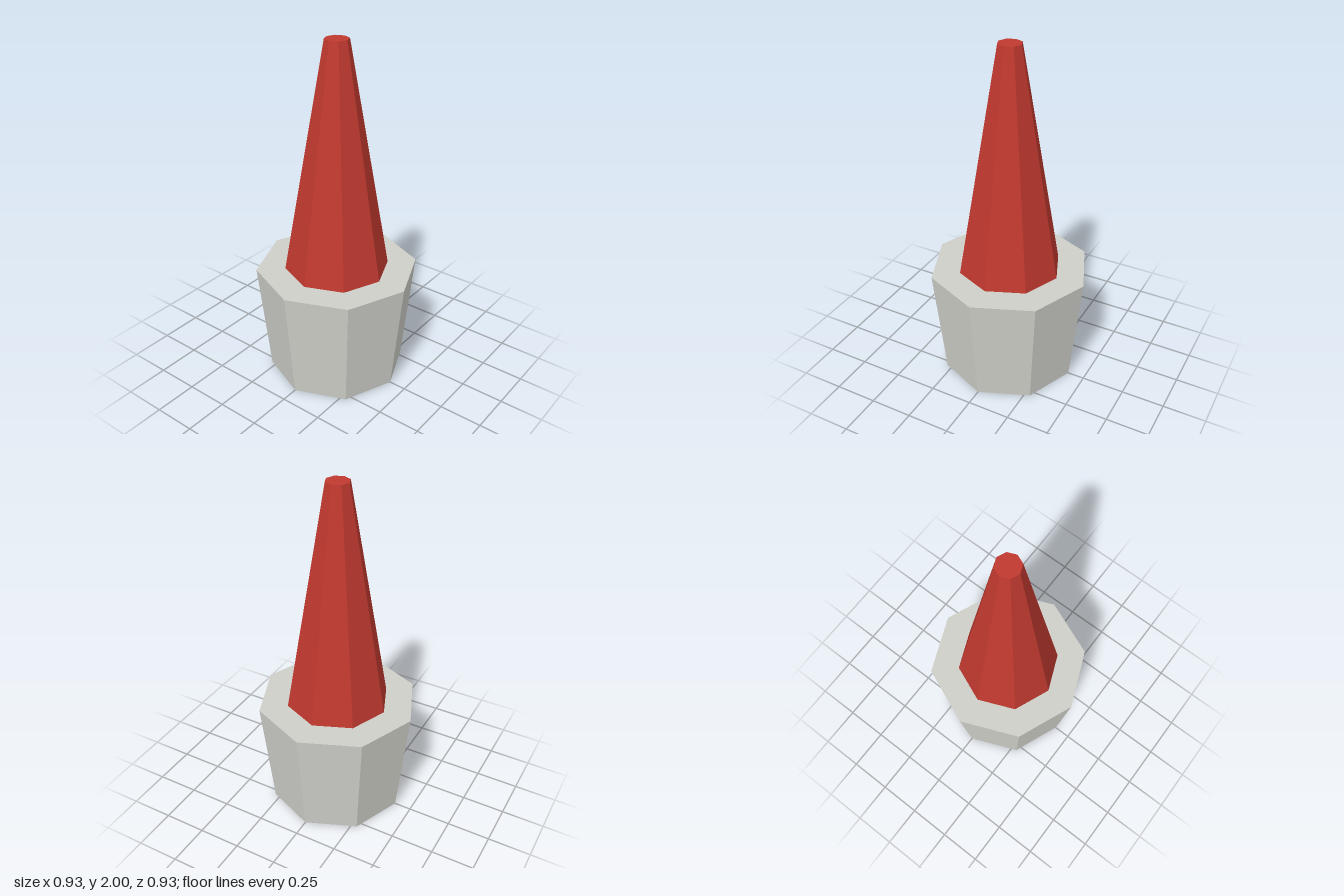
import * as THREE from 'three';

const SIDES = 8;

export function createModel() {
  const model = new THREE.Group();
  model.name = 'spikeOnPedestal';

  const stone = new THREE.MeshStandardMaterial({ color: 0xcfcfc9, flatShading: true });
  stone.name = 'pale grey';
  const red = new THREE.MeshStandardMaterial({ color: 0xc0392f, flatShading: true });
  red.name = 'red';

  // Eight-sided tapered section standing between two heights
  function section(name, material, topRadius, bottomRadius, bottom, top) {
    const geometry = new THREE.CylinderGeometry(topRadius, bottomRadius, top - bottom, SIDES);
    const mesh = new THREE.Mesh(geometry, material);
    mesh.name = name;
    mesh.position.y = (bottom + top) / 2;
    model.add(mesh);
  }

  // Flared base, wider at the rim
  section('base', stone, 0.467, 0.4, 0, 0.667);
  // Tall tapering spike with a blunt tip
  section('spike', red, 0.067, 0.3, 0.667, 2);

  return model;
}
